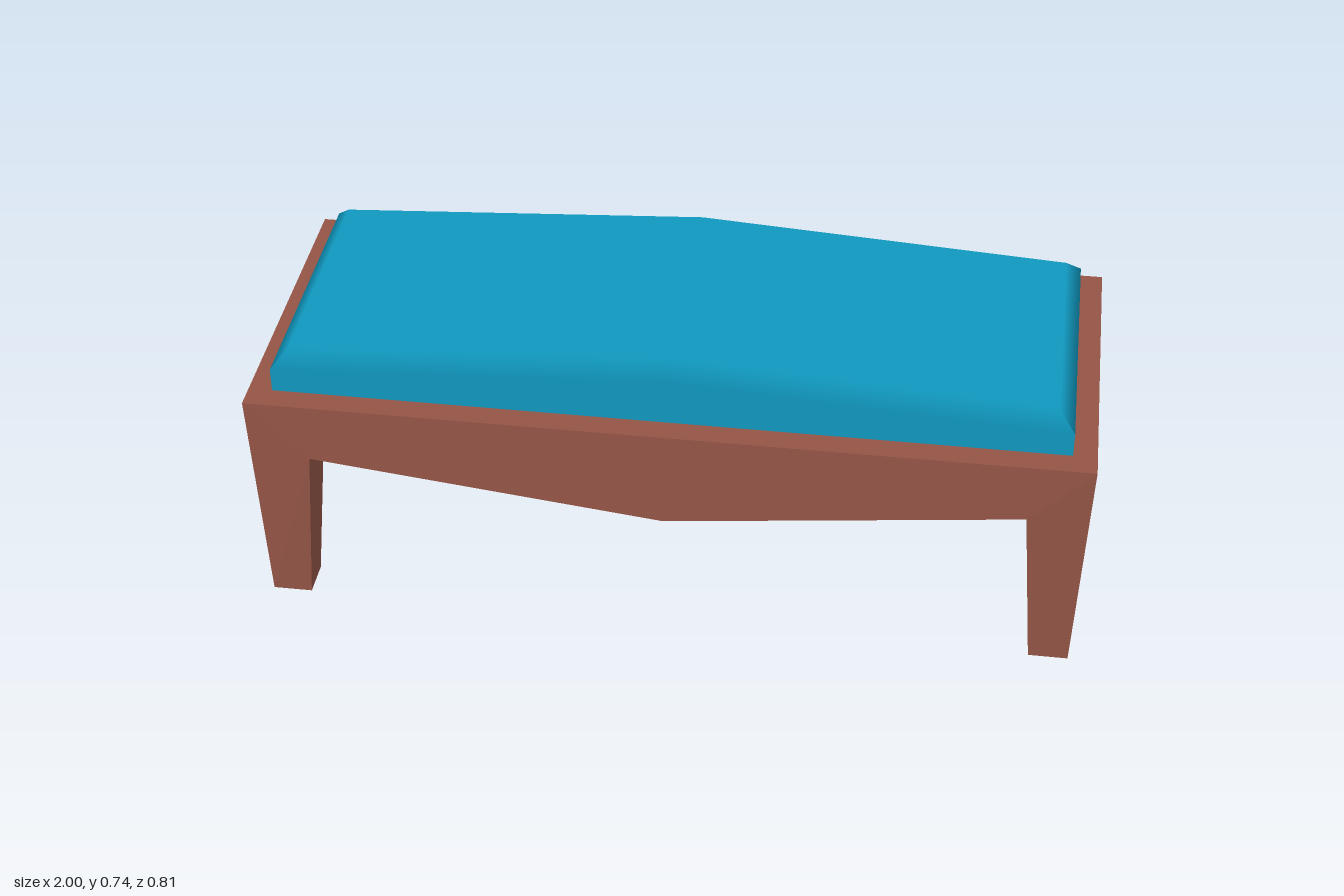
import * as THREE from 'three';

// Mirrors the faces of one quarter (+x, +z) into all four quarters.
// Each face is a convex loop of points; an optional matching loop holds normals.
function mirroredGeometry(quarter) {
  const pos = [], nor = [];
  for (const sx of [1, -1]) for (const sz of [1, -1]) {
    for (const { pts, normals } of quarter(sx, sz)) {
      for (let i = 1; i < pts.length - 1; i++) {
        const tri = sx * sz > 0 ? [0, i, i + 1] : [0, i + 1, i];
        for (const k of tri) {
          const p = pts[k];
          pos.push(p[0] * sx, p[1], p[2] * sz);
          if (normals) nor.push(normals[k][0] * sx, normals[k][1], normals[k][2] * sz);
        }
      }
    }
  }
  const g = new THREE.BufferGeometry();
  g.setAttribute('position', new THREE.Float32BufferAttribute(pos, 3));
  if (nor.length) {
    g.setAttribute('normal', new THREE.Float32BufferAttribute(nor, 3));
    g.normalizeNormals();
  } else g.computeVertexNormals();
  return g;
}

// Solid seat with V-shaped aprons and a sloping underside
function apronQuarter() {
  const top = [1, 0.58, 0.405], topFront = [0, 0.58, 0.405], topSide = [1, 0.58, 0], topMid = [0, 0.58, 0];
  const legFront = [0.85, 0.43, 0.405], legInner = [0.85, 0.43, 0.26], legSide = [1, 0.467, 0.26];
  const lowFront = [0, 0.332, 0.405], lowMid = [0, 0.332, 0], sideV = [1, 0.423, 0], innerV = [0.85, 0.425, 0];
  return [
    [topFront, lowFront, legFront, top],
    [top, legSide, sideV, topSide],
    [topMid, topFront, top, topSide],
    [lowFront, lowMid, innerV, legInner, legFront],
    [legInner, innerV, sideV, legSide],
  ].map((pts) => ({ pts }));
}

// Tapered corner leg running up to the top corner
function legQuarter(sx, sz) {
  const slim = sx > 0 && sz < 0 ? 0.008 : 0;
  const zo = 0.387 - slim, zi = 0.295 + slim;
  const top = [1, 0.58, 0.405], legFront = [0.85, 0.43, 0.405], legInner = [0.85, 0.43, 0.26], legSide = [1, 0.467, 0.26];
  const a = [0.98, 0, zo], b = [0.885, 0, zo], c = [0.885, 0, zi], d = [0.98, 0, zi];
  return [
    [legFront, b, a, top],
    [top, a, d, legSide],
    [legFront, legInner, c, b],
    [legInner, legSide, d, c],
    [a, b, c, d],
  ].map((pts) => ({ pts }));
}

// Crowned cushion: upright walls, softly shaded bevel, ridge across the middle
function cushionQuarter() {
  const X = 0.943, Z = 0.345, x = 0.905, z = 0.305;
  const b0 = [0, 0.58, Z], b1 = [X, 0.58, Z], b2 = [X, 0.58, 0];
  const m0 = [0, 0.695, Z], m1 = [X, 0.64, Z], m2 = [X, 0.64, 0];
  const t0 = [0, 0.735, z], t1 = [x, 0.68, z], t2 = [x, 0.68, 0], t3 = [0, 0.735, 0];
  const front = [0, 0, 1], side = [1, 0, 0], up = [0, 1, 0], slope = [0.06, 1, 0];
  return [
    { pts: [b0, b1, m1, m0], normals: [front, front, front, front] },
    { pts: [m0, m1, t1, t0], normals: [front, front, slope, up] },
    { pts: [b1, b2, m2, m1], normals: [side, side, side, side] },
    { pts: [m1, m2, t2, t1], normals: [side, side, slope, slope] },
    { pts: [t0, t1, t2, t3], normals: [up, slope, slope, up] },
  ];
}

export function createModel() {
  const wood = new THREE.MeshStandardMaterial({ color: 0x955547 });
  wood.name = 'reddish brown wood';
  const fabric = new THREE.MeshStandardMaterial({ color: 0x1098bf });
  fabric.name = 'teal fabric';

  const bench = new THREE.Group();
  bench.name = 'bench';
  const add = (name, quarter, material) => {
    const mesh = new THREE.Mesh(mirroredGeometry(quarter), material);
    mesh.name = name;
    bench.add(mesh);
  };
  add('seatFrame', apronQuarter, wood);
  add('legs', legQuarter, wood);
  add('cushion', cushionQuarter, fabric);
  return bench;
}
